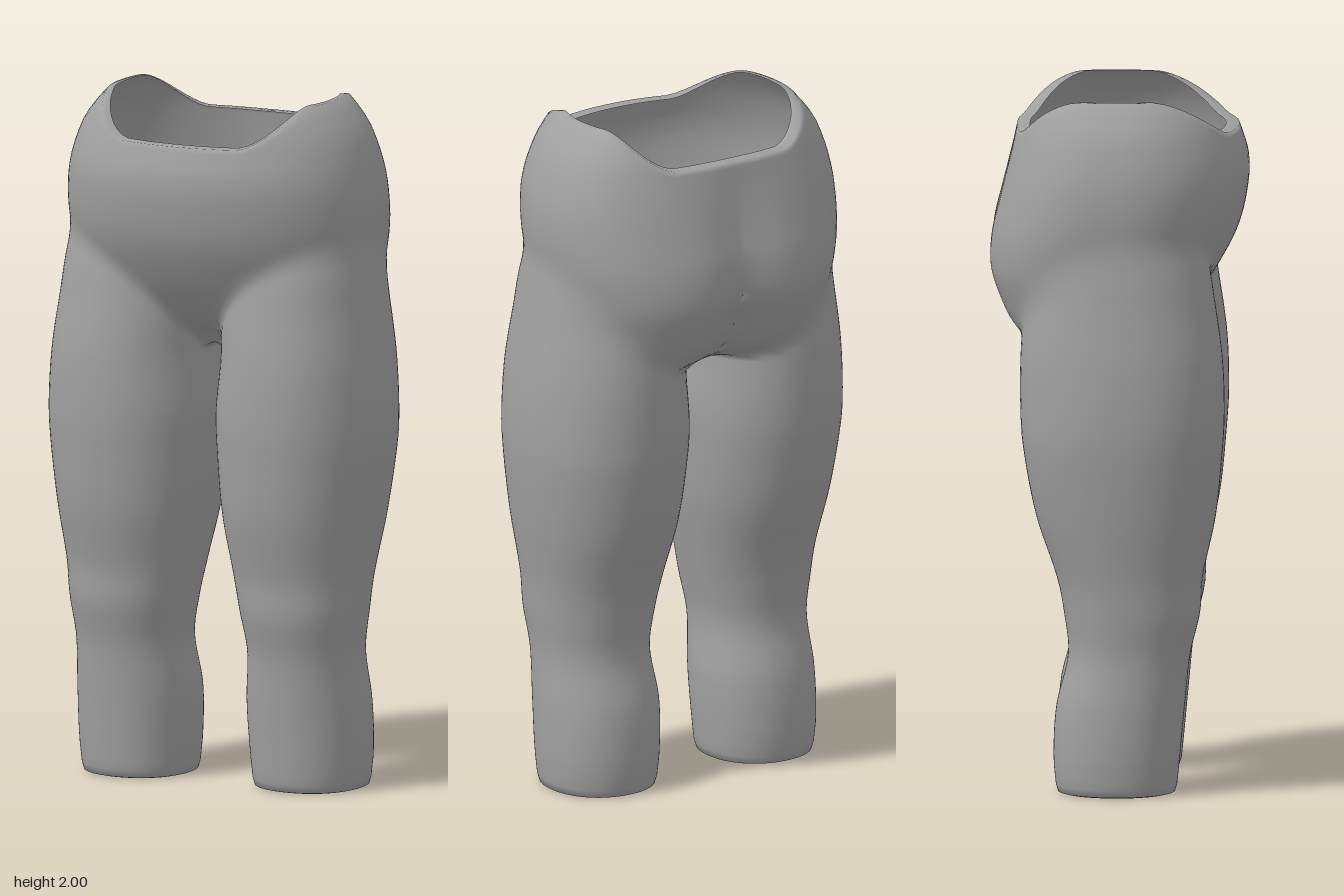
import * as THREE from 'three';
import { mergeVertices } from 'three/addons/utils/BufferGeometryUtils.js';

// leg sections: y, inner x, outer x, front z, back z
const LEG = [
  [0, 0.11, 0.435, 0.172, -0.17], [0.1, 0.1, 0.445, 0.182, -0.18], [0.25, 0.095, 0.445, 0.196, -0.172],
  [0.4, 0.108, 0.438, 0.212, -0.138], [0.52, 0.09, 0.452, 0.24, -0.15], [0.62, 0.07, 0.462, 0.247, -0.17],
  [0.8, 0.037, 0.49, 0.285, -0.23], [1.0, 0.02, 0.513, 0.305, -0.268], [1.1, 0.018, 0.515, 0.31, -0.275],
  [1.25, 0.033, 0.505, 0.305, -0.275], [1.4, 0.033, 0.485, 0.285, -0.265], [1.55, 0.045, 0.463, 0.258, -0.245],
  [1.7, 0.07, 0.42, 0.2, -0.2], [2.1, 0.15, 0.3, 0.08, -0.08],
];
// pelvis sections: y, half width, front z, back z, depth of the rear cleft
const PELVIS = [
  [1.26, 0.34, 0.06, -0.2, 0.06], [1.3, 0.37, 0.1, -0.275, 0.06], [1.35, 0.4, 0.17, -0.32, 0.06],
  [1.42, 0.42, 0.235, -0.352, 0.05], [1.5, 0.44, 0.29, -0.375, 0.035], [1.6, 0.46, 0.342, -0.37, 0.025],
  [1.7, 0.466, 0.368, -0.345, 0.018], [1.8, 0.455, 0.374, -0.318, 0.01], [1.9, 0.422, 0.345, -0.29, 0],
  [1.95, 0.39, 0.325, -0.275, 0], [2.0, 0.345, 0.3, -0.26, 0],
];
const CROTCH = 1.275;
const COLS = 80;

// smooth interpolation through a table of sections
function sample(table, y) {
  const n = table.length;
  let i = 0;
  while (i < n - 2 && y > table[i + 1][0]) i++;
  const a = table[i], b = table[i + 1], p = table[Math.max(i - 1, 0)], q = table[Math.min(i + 2, n - 1)];
  const h = b[0] - a[0], t = THREE.MathUtils.clamp((y - a[0]) / h, 0, 1);
  return a.slice(1).map((v, k) => {
    const m0 = (b[k + 1] - p[k + 1]) / (b[0] - p[0]) * h;
    const m1 = (q[k + 1] - v) / (q[0] - a[0]) * h;
    const t2 = t * t, t3 = t2 * t;
    return (2 * t3 - 3 * t2 + 1) * v + (t3 - 2 * t2 + t) * m0 + (3 * t2 - 2 * t3) * b[k + 1] + (t3 - t2) * m1;
  });
}

const norm = (u, v, e) => Math.pow(Math.pow(Math.abs(u), e) + Math.pow(Math.abs(v), e), 1 / e);

// returns a function that is negative inside the blended leg and pelvis at one height
function sectionAt(y) {
  const [xi, xo, zf, zb] = sample(LEG, y);
  const cx = (xi + xo) / 2, cz = (zf + zb) / 2, rx = (xo - xi) / 2, rz = (zf - zb) / 2;
  const hip = y > CROTCH ? sample(PELVIS, y) : null;
  const inside = (x, z) => {
    const leg = (norm((x - cx) / rx, (z - cz) / rz, 2.15) - 1) * rx;
    if (!hip) return leg;
    const [hx, hf, hb, cleft] = hip;
    const back = -hb - cleft * Math.exp(-((x / 0.1) ** 2));
    const pelvis = (z > 0 ? norm(x / hx, z / hf, 2.15) : norm(x / hx, z / back, 2.6)) * 0.3 - 0.3;
    const k = 0.02, h = Math.max(k - Math.abs(leg - pelvis), 0) / k;
    return Math.min(leg, pelvis) - h * h * k / 4;
  };
  return { cx, cz, inside };
}

// walk outwards until the surface is crossed, then refine
function reach(inside, limit) {
  let lo = 0, hi = 0;
  while (hi < limit && inside(hi) < 0) { lo = hi; hi += 0.01; }
  if (hi >= limit) {
    if (inside(limit) < 0) return limit;
    hi = limit;
  }
  for (let i = 0; i < 16; i++) {
    const m = (lo + hi) / 2;
    if (inside(m) < 0) lo = m; else hi = m;
  }
  return lo;
}

// one ring around the leg axis, cut off at the middle plane; yOf gives the height per column
function ring(yOf) {
  const pts = [], cut = [], sections = [];
  for (let j = 0; j < COLS; j++) {
    const a = j / COLS * Math.PI * 2, c = Math.cos(a), s = Math.sin(a), y = yOf(j);
    const sec = sectionAt(y);
    const limit = c < -1e-4 ? Math.min(sec.cx / -c, 1.2) : 1.2;
    const r = reach(d => sec.inside(sec.cx + c * d, sec.cz + s * d), limit);
    cut.push(r === limit && c < 0);
    pts.push([cut[j] ? 0 : sec.cx + c * r, y, sec.cz + s * r]);
    sections.push(sec);
  }
  // outermost cut points slide along the middle plane to the skin
  for (let j = 0; j < COLS; j++) {
    if (!cut[j] || (cut[(j + 1) % COLS] && cut[(j + COLS - 1) % COLS])) continue;
    const p = pts[j], dir = Math.sin(j / COLS * Math.PI * 2) >= 0 ? 1 : -1, z0 = p[2];
    p[2] = z0 + dir * reach(d => sections[j].inside(0, z0 + dir * d), 0.6);
  }
  return pts;
}

function bodyGeometry() {
  const rows = [];
  // rounded ankle hem with an inward lip
  const hem = ring(() => 0.05);
  for (const [y, k] of [[0.012, 0.72], [0, 0.86], [0.004, 0.95], [0.025, 0.985]])
    rows.push(hem.map(p => [0.272 + (p[0] - 0.272) * k, y, p[2] * k]));
  rows.push(hem);
  // legs and hips
  for (let y = 0.08; y < 1.26; y += 0.03) rows.push(ring(() => y));
  for (let y = 1.262; y < 1.8; y += 0.02) rows.push(ring(() => y));
  // waist rises to a peak on each side
  const base = ring(() => 1.81);
  rows.push(base);
  const top = base.map(p => 1.895 + 0.105 * THREE.MathUtils.smoothstep(p[0], 0.18, 0.41));
  for (let i = 1; i <= 6; i++) rows.push(ring(j => 1.81 + (top[j] - 1.81) * i / 6));
  rows.push(rows[rows.length - 1].map(([x, y, z]) => [x * 0.95, y, 0.02 + (z - 0.02) * 0.88]));

  const pos = [], index = [], half = rows.length * COLS;
  for (const side of [1, -1])
    for (const row of rows) for (const [x, y, z] of row) pos.push(x * side, y, z);
  const flat = i => Math.abs(pos[i * 3]) < 1e-6;
  const tri = (a, b, c) => {
    if (flat(a) && flat(b) && flat(c)) return;
    index.push(a, b, c, a + half, c + half, b + half);
  };
  for (let i = 0; i < rows.length - 1; i++)
    for (let j = 0; j < COLS; j++) {
      const k = (j + 1) % COLS;
      const a = i * COLS + j, b = i * COLS + k, c = a + COLS, d = b + COLS;
      tri(a, c, b);
      tri(b, c, d);
    }
  const geo = new THREE.BufferGeometry();
  geo.setAttribute('position', new THREE.Float32BufferAttribute(pos, 3));
  geo.setIndex(index);
  const merged = mergeVertices(geo, 1e-4);
  merged.computeVertexNormals();
  return merged;
}

export function createModel() {
  const group = new THREE.Group();
  group.name = 'hipsAndLegs';
  const grey = new THREE.MeshStandardMaterial({ color: 0xa0a0a0, side: THREE.DoubleSide });
  grey.name = 'grey';
  const shell = new THREE.Mesh(bodyGeometry(), grey);
  shell.name = 'hipsAndLegsShell';
  group.add(shell);
  return group;
}
